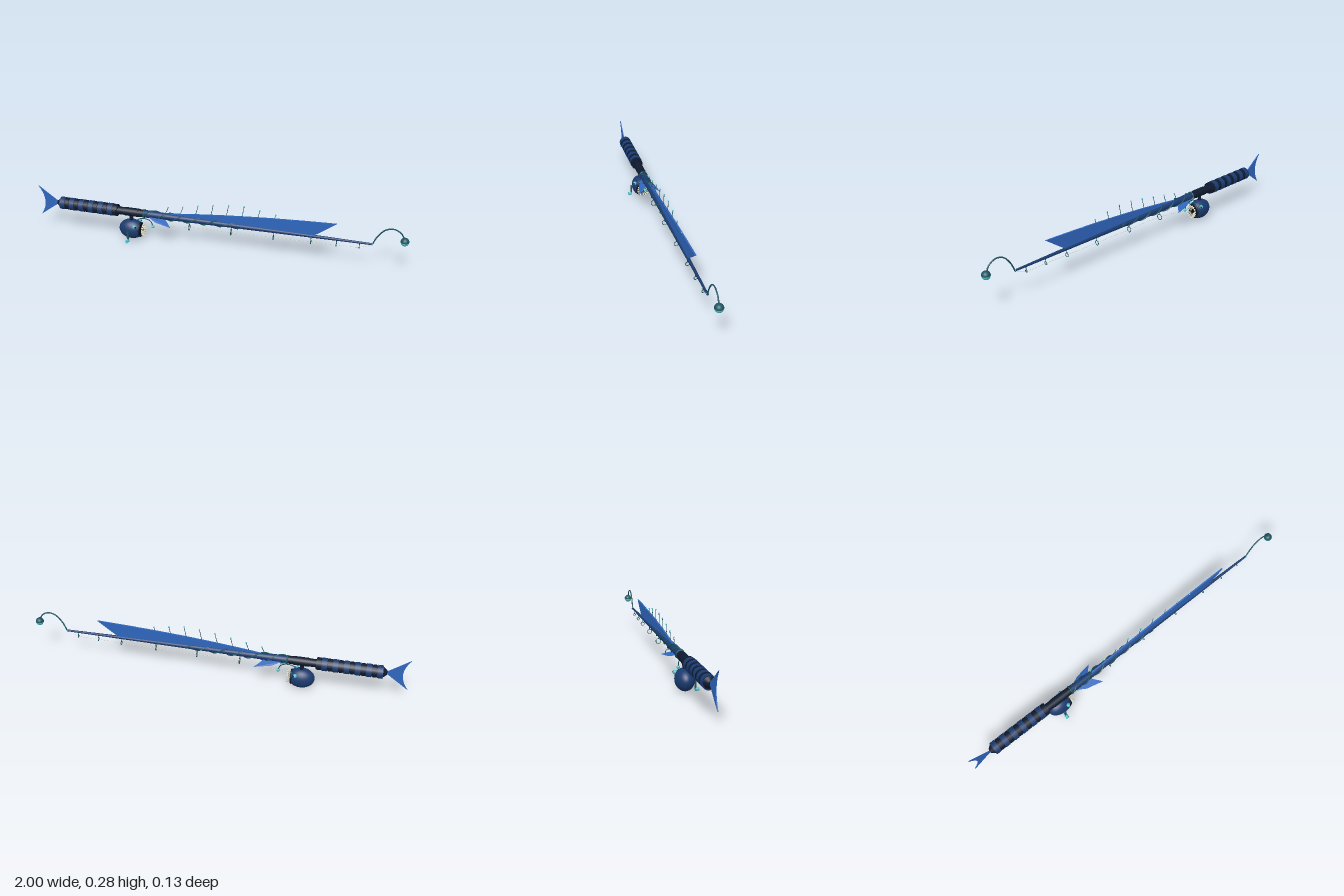
import * as THREE from 'three';

const mat = (color) => new THREE.MeshStandardMaterial({ color, side: THREE.DoubleSide });
const V = (x, y, z = 0) => new THREE.Vector3(x, y, z);
const AXIS = 0.16; // height of the rod

export function createModel() {
  const model = new THREE.Group();
  model.position.z = -0.003;
  const navy = mat(0x0e1a30), blue = mat(0x1a3a6e), finBlue = mat(0x2f66bd);
  const teal = mat(0x4fc4cf), darkTeal = mat(0x1d5560), black = mat(0x080a10);
  const ivory = mat(0xdcdcc8);

  const add = (name, geo, material, x = 0, y = 0, z = 0, parent = model) => {
    const m = new THREE.Mesh(geo, material);
    m.name = name;
    m.position.set(x, y, z);
    parent.add(m);
    return m;
  };
  // cylinder lying along x
  const bar = (name, x0, x1, r0, r1, material, sides = 20) =>
    add(name, new THREE.CylinderGeometry(r1, r0, x1 - x0, sides).rotateZ(-Math.PI / 2), material, (x0 + x1) / 2, AXIS);
  const ball = (name, r, material, x, y, z = 0) =>
    add(name, new THREE.SphereGeometry(r, 20, 14), material, x, y, z);
  const tube = (name, pts, r, material, n = 32) =>
    add(name, new THREE.TubeGeometry(new THREE.CatmullRomCurve3(pts), n, r, 6), material);
  const ring = (name, x, y, r, t, material) =>
    add(name, new THREE.TorusGeometry(r, t, 8, 24).rotateY(Math.PI / 2), material, x, y);
  const plate = (name, shape, depth, material) =>
    add(name, new THREE.ExtrudeGeometry(shape, { depth, bevelEnabled: false, curveSegments: 16 }), material, 0, 0, -depth / 2);

  // Banded grip
  const bands = 6, pitch = 0.335 / bands;
  bar('gripCore', -0.87, -0.535, 0.03, 0.03, navy);
  for (let i = 0; i < bands; i++) {
    const x = -0.87 + i * pitch;
    bar('gripBand', x, x + pitch * 0.5, 0.034, 0.034, blue);
    bar('gripGroove', x + pitch * 0.56, x + pitch * 0.94, 0.0325, 0.0325, navy);
  }
  bar('gripCap', -0.89, -0.87, 0.012, 0.028, navy);

  // Reel seat and tapering blank
  bar('reelSeat', -0.54, -0.38, 0.021, 0.021, navy);
  bar('foreGrip', -0.39, -0.2, 0.021, 0.0165, blue);
  bar('blank', -0.2, 0.825, 0.0165, 0.005, blue);
  ring('seatCollar', -0.385, AXIS, 0.02, 0.0045, darkTeal);
  ring('tipCollar', 0.822, AXIS, 0.005, 0.002, teal);

  // Two strands wound around the blank
  for (const phase of [0, Math.PI]) {
    const pts = [];
    for (let i = 0; i <= 48; i++) {
      const t = i / 48, a = phase + t * Math.PI * 6, r = 0.0225 - 0.0095 * t;
      pts.push(V(-0.385 + 0.54 * t, AXIS + r * Math.sin(a), r * Math.cos(a)));
    }
    tube('woundStrand', pts, 0.0035, darkTeal, 140);
  }

  // Tail fin
  const tail = new THREE.Shape();
  tail.moveTo(-0.88, AXIS);
  tail.quadraticCurveTo(-0.95, 0.21, -1, 0.247);
  tail.quadraticCurveTo(-0.935, AXIS, -1, 0.073);
  tail.quadraticCurveTo(-0.95, 0.11, -0.88, AXIS);
  plate('tailFin', tail, 0.005, finBlue);

  // Long dorsal fin
  const dorsal = new THREE.Shape();
  dorsal.moveTo(-0.32, 0.168);
  dorsal.quadraticCurveTo(0.1, 0.228, 0.64, 0.247);
  dorsal.lineTo(0.525, 0.163);
  dorsal.lineTo(-0.32, 0.163);
  plate('dorsalFin', dorsal, 0.008, finBlue);

  // Beaded dorsal spines
  [0.215, 0.23, 0.246, 0.261, 0.272, 0.277, 0.266, 0.251, 0.236].forEach((y, i) => {
    const x = -0.25 + i * 0.0825;
    tube('dorsalSpine', [V(x - 0.025, 0.168), V(x - 0.01, (y + 0.168) / 2), V(x, y)], 0.0015, darkTeal, 6);
    ball('spineBead', 0.004, teal, x, y);
  });

  // Paired side fins, sloping outward and down
  for (const s of [1, -1]) {
    const c = [V(-0.37, 0.155, 0.012 * s), V(-0.31, 0.137, 0.042 * s), V(-0.22, 0.127, 0.06 * s), V(-0.265, 0.15, 0.012 * s)];
    const geo = new THREE.BufferGeometry().setFromPoints([c[0], c[1], c[2], c[0], c[2], c[3]]);
    geo.computeVertexNormals();
    add('sideFin', geo, finBlue);
  }

  // Reel: hollow fish body with an open mouth towards the tip
  const reel = new THREE.Group();
  reel.name = 'reel';
  reel.position.set(-0.462, 0.06, 0);
  reel.scale.z = 0.85;
  model.add(reel);
  const profile = [];
  for (let i = 0; i <= 20; i++) {
    const a = Math.PI * (1 - i / 20 * 0.76);
    profile.push(new THREE.Vector2(0.055 * Math.sin(a), 0.07 * Math.cos(a)));
  }
  profile.push(new THREE.Vector2(0.035, 0.05), new THREE.Vector2(0.032, 0.03), new THREE.Vector2(0, 0.02));
  const onX = (g) => g.rotateZ(-Math.PI / 2);
  add('reelBody', onX(new THREE.LatheGeometry(profile, 32)), blue, 0, 0, 0, reel);
  add('throat', onX(new THREE.CylinderGeometry(0.036, 0.034, 0.008, 28)), black, 0.043, 0, 0, reel);
  add('lip', new THREE.TorusGeometry(0.038, 0.005, 8, 32).rotateY(Math.PI / 2), navy, 0.05, 0, 0, reel);
  for (let i = 0; i < 16; i++) {
    const tooth = new THREE.ConeGeometry(0.0055, 0.031, 6);
    tooth.rotateZ(Math.PI - 0.5).translate(0.062, 0.023, 0).rotateX((i + 0.5) * Math.PI / 8);
    add('tooth', tooth, ivory, 0, 0, 0, reel);
  }

  // Reel foot, eyes and small lure
  add('reelStem', new THREE.CylinderGeometry(0.008, 0.011, 0.05, 12), navy, -0.462, 0.128);
  bar('reelFoot', -0.5, -0.42, 0.023, 0.023, navy);
  for (const s of [1, -1]) {
    ball('eye', 0.0105, teal, -0.433, 0.09, 0.0385 * s);
    ball('pupil', 0.005, black, -0.426, 0.091, 0.0445 * s);
  }
  tube('reelLureStalk', [V(-0.44, 0.1), V(-0.42, 0.122), V(-0.385, 0.13), V(-0.352, 0.118), V(-0.34, 0.09)], 0.0025, darkTeal);
  ball('reelLure', 0.009, teal, -0.34, 0.088);

  // Crank
  add('crankHub', new THREE.CylinderGeometry(0.008, 0.008, 0.016, 12).rotateX(Math.PI / 2), darkTeal, -0.468, 0.056, 0.046);
  add('crankArm', new THREE.BoxGeometry(0.01, 0.05, 0.006), darkTeal, -0.468, 0.035, 0.052);
  add('crankKnob', new THREE.CylinderGeometry(0.009, 0.009, 0.02, 16).rotateX(Math.PI / 2), teal, -0.468, 0.011, 0.06);

  // Line guides hanging below the blank, and the line through them
  const line = [V(-0.4, 0.075)];
  [-0.135, 0.095, 0.32, 0.515, 0.645, 0.76].forEach((x, i) => {
    const r = 0.0155 - i * 0.0019, y = 0.098 + i * 0.0058 + r;
    ring('lineGuide', x, y, r, 0.0018, darkTeal);
    const top = AXIS - 0.004;
    add('guideStem', new THREE.CylinderGeometry(0.002, 0.002, top - y - r, 6), darkTeal, x, (top + y + r) / 2);
    line.push(V(x, y));
  });
  line.push(V(0.825, 0.157));
  tube('line', line, 0.0008, ivory, 60);

  // Glowing lure arched over the tip
  tube('lureStalk', [V(0.823, AXIS), V(0.845, 0.208), V(0.88, 0.248), V(0.92, 0.258), V(0.957, 0.24), V(0.975, 0.21)], 0.0035, darkTeal, 40);
  ball('lureBulb', 0.0205, teal, 0.978, 0.195);
  add('lureCap', new THREE.SphereGeometry(0.0218, 24, 10, 0, Math.PI * 2, 0, Math.PI / 2), darkTeal, 0.978, 0.196);

  return model;
}
